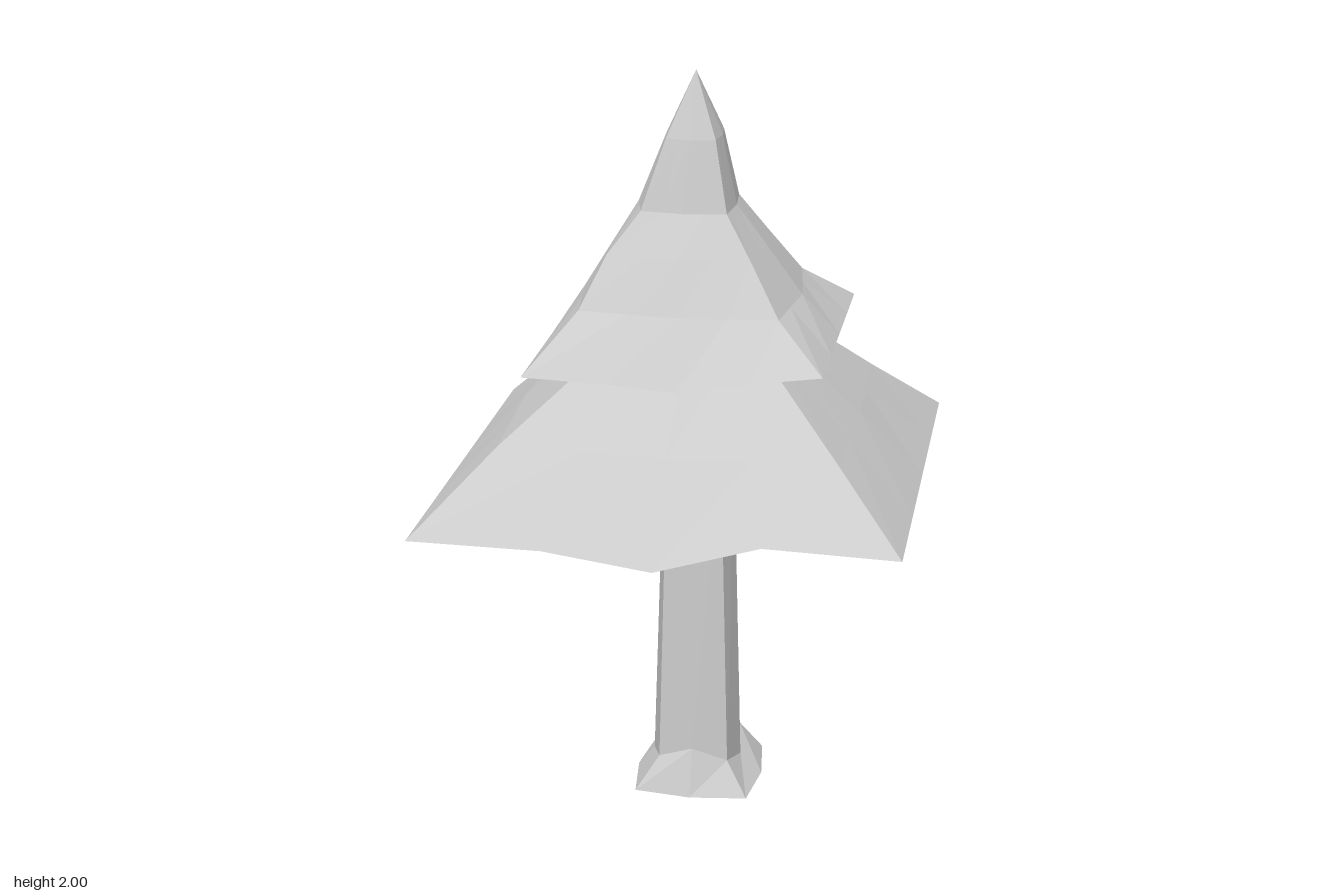
import * as THREE from 'three';

const material = new THREE.MeshStandardMaterial({ color: 0xcccccc, flatShading: true });
const mix = (a, b, t) => a.map((v, i) => v + (b[i] - v) * t);

// Squarish ring, front-left -> front-right -> back-right -> back-left.
// bulge pushes the side middles outward: [front, right, back, left].
function ring(y, xl, xr, zf, zb, bulge = [0, 0, 0, 0], segments = 4) {
  const corners = [[xl, y, zf], [xr, y, zf], [xr, y, zb], [xl, y, zb]];
  const out = [[0, 1], [1, 0], [0, -1], [-1, 0]];
  const points = [];
  corners.forEach((c, s) => {
    for (let i = 0; i < segments; i++) {
      const t = i / segments;
      const p = mix(c, corners[(s + 1) % 4], t);
      const push = bulge[s] * (1 - Math.abs(2 * t - 1));
      points.push([p[0] + out[s][0] * push, y, p[2] + out[s][1] * push]);
    }
  });
  return points;
}

// Uneven rim: given front and back edges (5 points each), straight sides between them
function rim(front, back) {
  const side = (a, b) => [0.25, 0.5, 0.75].map((t) => mix(a, b, t));
  return [...front, ...side(front[4], back[0]), ...back, ...side(back[4], front[0])];
}

// Skin through the rings, closed to a point at each end
function loft(name, rings, bottom, top) {
  const pos = [];
  const tri = (a, b, c) => pos.push(...a, ...b, ...c);
  const n = rings[0].length;
  const last = rings[rings.length - 1];
  for (let i = 0; i < n; i++) {
    const j = (i + 1) % n;
    for (let k = 0; k + 1 < rings.length; k++) {
      const a = rings[k], b = rings[k + 1];
      tri(a[i], a[j], b[j]);
      tri(a[i], b[j], b[i]);
    }
    tri(last[i], last[j], top);
    tri(rings[0][j], rings[0][i], bottom);
  }
  const geometry = new THREE.BufferGeometry();
  geometry.setAttribute('position', new THREE.Float32BufferAttribute(pos, 3));
  geometry.computeVertexNormals();
  const mesh = new THREE.Mesh(geometry, material);
  mesh.name = name;
  return mesh;
}

export function createModel() {
  const tree = new THREE.Group();
  tree.name = 'tree';

  // Trunk: tapered octagon with a flared foot
  const foot = ring(0, -0.125, 0.185, 0.145, -0.18, [0.02, 0.02, 0.02, 0.02], 2);
  const ankle = ring(0.09, -0.065, 0.125, 0.1, -0.14, [0.025, 0.02, 0.015, 0.035], 2);
  ankle[1][1] = ankle[5][1] = 0.13;
  ankle[3][1] = ankle[7][1] = 0.055;
  const neck = ring(0.95, -0.045, 0.103, 0.085, -0.112, [0.015, 0.02, 0.013, 0.025], 2);
  tree.add(loft('trunk', [foot, ankle, neck], [0.02, 0, -0.01], [0.02, 0.95, -0.01]));

  // Lower foliage tier
  const lowerRim = rim(
    [[-0.63, 0.89, 0.585], [-0.28, 0.885, 0.582], [0.01, 0.86, 0.615], [0.28, 0.93, 0.583], [0.63, 0.92, 0.585]],
    [[0.63, 0.92, -0.62], [0.35, 0.875, -0.62], [0.03, 0.85, -0.597], [-0.28, 0.86, -0.62], [-0.63, 0.89, -0.62]]);
  tree.add(loft('lowerFoliage', [
    lowerRim,
    ring(1.09, -0.43, 0.45, 0.4, -0.43, [0.015, 0.01, 0.02, 0.02]),
    ring(1.28, -0.21, 0.25, 0.21, -0.24, [0.02, 0.01, 0.02, 0.01]),
  ], [0.01, 0.855, 0], [0.02, 1.47, -0.01]));

  // Upper foliage tier, flaring from a narrow tip
  const upperRim = rim(
    [[-0.375, 1.265, 0.355], [-0.15, 1.258, 0.355], [0.03, 1.25, 0.37], [0.22, 1.28, 0.355], [0.4, 1.305, 0.355]],
    [[0.4, 1.305, -0.39], [0.22, 1.285, -0.39], [0.03, 1.255, -0.378], [-0.15, 1.258, -0.39], [-0.375, 1.265, -0.39]]);
  tree.add(loft('upperFoliage', [
    upperRim,
    ring(1.41, -0.25, 0.27, 0.225, -0.26, [0.025, 0.03, 0.01, 0.03]),
    ring(1.54, -0.19, 0.185, 0.145, -0.18, [0.03, 0.02, 0.015, 0.01]),
    ring(1.645, -0.11, 0.115, 0.09, -0.125, [0.015, 0.01, 0.012, 0.025]),
    ring(1.83, -0.05, 0.08, 0.055, -0.085, [0.01, 0.008, 0.01, 0.01]),
  ], [0.01, 1.255, -0.02], [0.02, 2, 0]));

  return tree;
}
